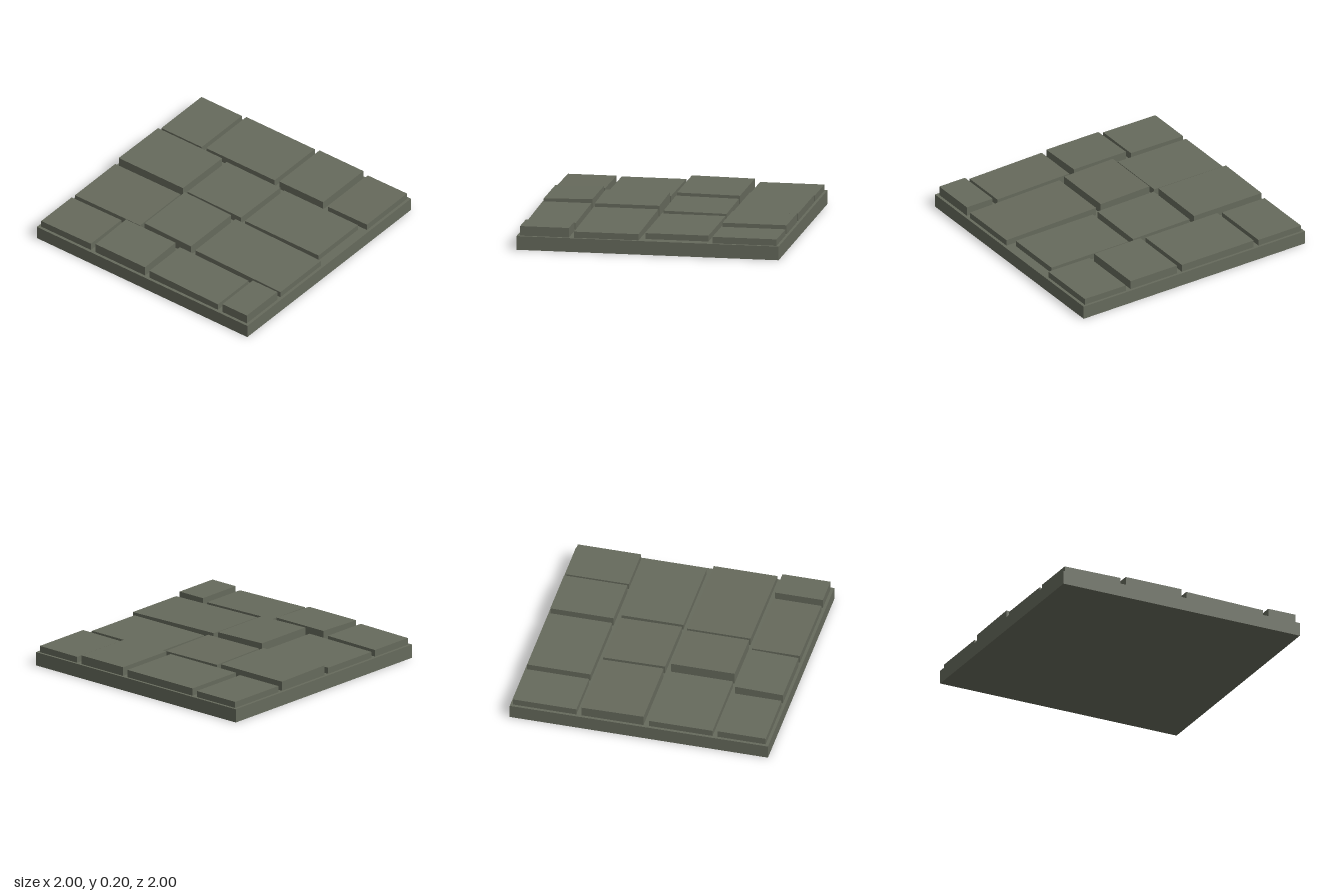
import * as THREE from 'three';

const BASE_TOP = 0.105;

// Rows of paving stones: [z back, z front, [x left, x right, height, rise along x, rise along z]...]
const ROWS = [
  [-0.98, -0.49, [
    [-0.977, -0.593, 0.153, 0, 0],
    [-0.55, 0.1, 0.163, 0, 0],
    [0.145, 0.562, 0.173, 0, 0],
    [0.605, 0.977, 0.153, 0.003, 0],
  ]],
  [-0.45, 0.03, [
    [-0.977, -0.367, 0.18, 0, 0.006],
    [-0.325, 0.185, 0.163, -0.006, 0.006],
    [0.225, 0.922, 0.15, 0, 0],
  ]],
  [0.073, 0.565, [
    [-0.977, -0.358, 0.155, 0.004, 0],
    [-0.315, 0.125, 0.191, -0.011, 0],
    [0.167, 0.977, 0.16, -0.016, 0],
  ]],
  [0.605, 0.977, [
    [-0.977, -0.505, 0.16, 0.006, 0],
    [-0.46, 0.01, 0.186, 0, -0.01],
    [0.052, 0.702, 0.162, -0.013, 0],
    [0.745, 0.977, 0.178, 0, 0],
  ]],
];

// Box resting on the base whose top face is gently tilted
function stoneGeometry(width, depth, height, riseX, riseZ) {
  const geometry = new THREE.BoxGeometry(width, height, depth);
  geometry.translate(0, height / 2, 0);
  const p = geometry.attributes.position;
  for (let i = 0; i < p.count; i++) {
    if (p.getY(i) > height / 2) {
      p.setY(i, height + riseX * p.getX(i) / width + riseZ * p.getZ(i) / depth);
    }
  }
  geometry.computeVertexNormals();
  return geometry;
}

export function createModel() {
  const model = new THREE.Group();
  model.name = 'stoneFloorTile';
  const stone = new THREE.MeshStandardMaterial({ color: 0x666a5c });
  stone.name = 'greyStone';

  // Square slab under the stones
  const base = new THREE.Mesh(new THREE.BoxGeometry(2, BASE_TOP, 2), stone);
  base.name = 'baseSlab';
  base.position.y = BASE_TOP / 2;
  model.add(base);

  // Paving stones, row by row from the back
  ROWS.forEach(([z0, z1, stones], row) => {
    const group = new THREE.Group();
    group.name = `pavingRow${row + 1}`;
    stones.forEach(([x0, x1, top, riseX, riseZ], i) => {
      const mesh = new THREE.Mesh(
        stoneGeometry(x1 - x0, z1 - z0, top - BASE_TOP, riseX, riseZ), stone);
      mesh.name = `pavingStone${i + 1}`;
      mesh.position.set((x0 + x1) / 2, BASE_TOP, (z0 + z1) / 2);
      group.add(mesh);
    });
    model.add(group);
  });
  return model;
}
